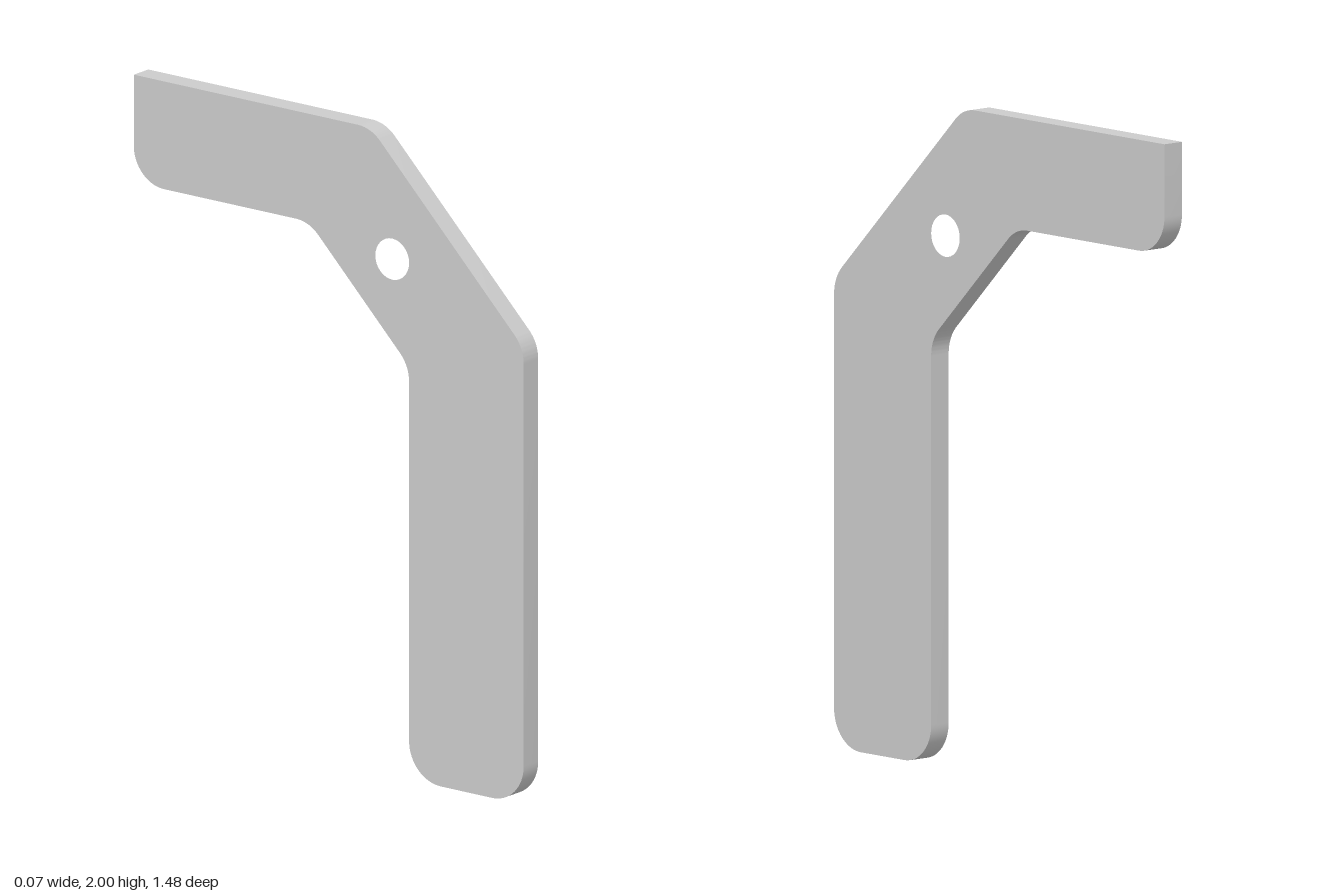
import * as THREE from 'three';
import { toCreasedNormals } from 'three/addons/utils/BufferGeometryUtils.js';

const THICKNESS = 0.07;

// Closed outline from [z, y, cornerRadius] points, each corner rounded by a tangent arc
function roundedOutline(points) {
  const shape = new THREE.Shape();
  const n = points.length;
  points.forEach(([z, y, r], i) => {
    const corner = new THREE.Vector2(z, y);
    const toPrev = new THREE.Vector2(...points[(i + n - 1) % n].slice(0, 2)).sub(corner).normalize();
    const toNext = new THREE.Vector2(...points[(i + 1) % n].slice(0, 2)).sub(corner).normalize();
    const turn = Math.PI - Math.acos(toPrev.dot(toNext));
    const cut = r * Math.tan(turn / 2);
    const pull = cut - r * (4 / 3) * Math.tan(turn / 4);
    const at = (dir, d) => corner.clone().addScaledVector(dir, d);
    const start = at(toPrev, cut), end = at(toNext, cut);
    if (i === 0) shape.moveTo(start.x, start.y);
    else shape.lineTo(start.x, start.y);
    if (r > 0) {
      const a = at(toPrev, pull), b = at(toNext, pull);
      shape.bezierCurveTo(a.x, a.y, b.x, b.y, end.x, end.y);
    }
  });
  shape.closePath();
  return shape;
}

export function createModel() {
  const group = new THREE.Group();
  group.name = 'angledBracket';

  // Upright leg, 45 degree elbow and horizontal arm in one flat plate
  const outline = roundedOutline([
    [0.305, 0, 0.12],
    [0.305, 1.285, 0.12],
    [-0.075, 1.665, 0.12],
    [-0.74, 1.665, 0.115],
    [-0.74, 2, 0],
    [0.16, 2, 0.12],
    [0.74, 1.42, 0.12],
    [0.74, 0, 0.12],
  ]);

  // Round hole through the elbow
  const hole = new THREE.Path();
  hole.absarc(0.241, 1.606, 0.064, 0, Math.PI * 2, true);
  outline.holes.push(hole);

  const geometry = new THREE.ExtrudeGeometry(outline, {
    depth: THICKNESS, bevelEnabled: false, curveSegments: 16,
  });
  geometry.translate(0, 0, -THICKNESS / 2);
  geometry.rotateY(-Math.PI / 2);

  const plate = new THREE.Mesh(
    toCreasedNormals(geometry, 0.6),
    new THREE.MeshStandardMaterial({ color: 0xcccccc }),
  );
  plate.name = 'bracketPlate';
  group.add(plate);
  return group;
}
